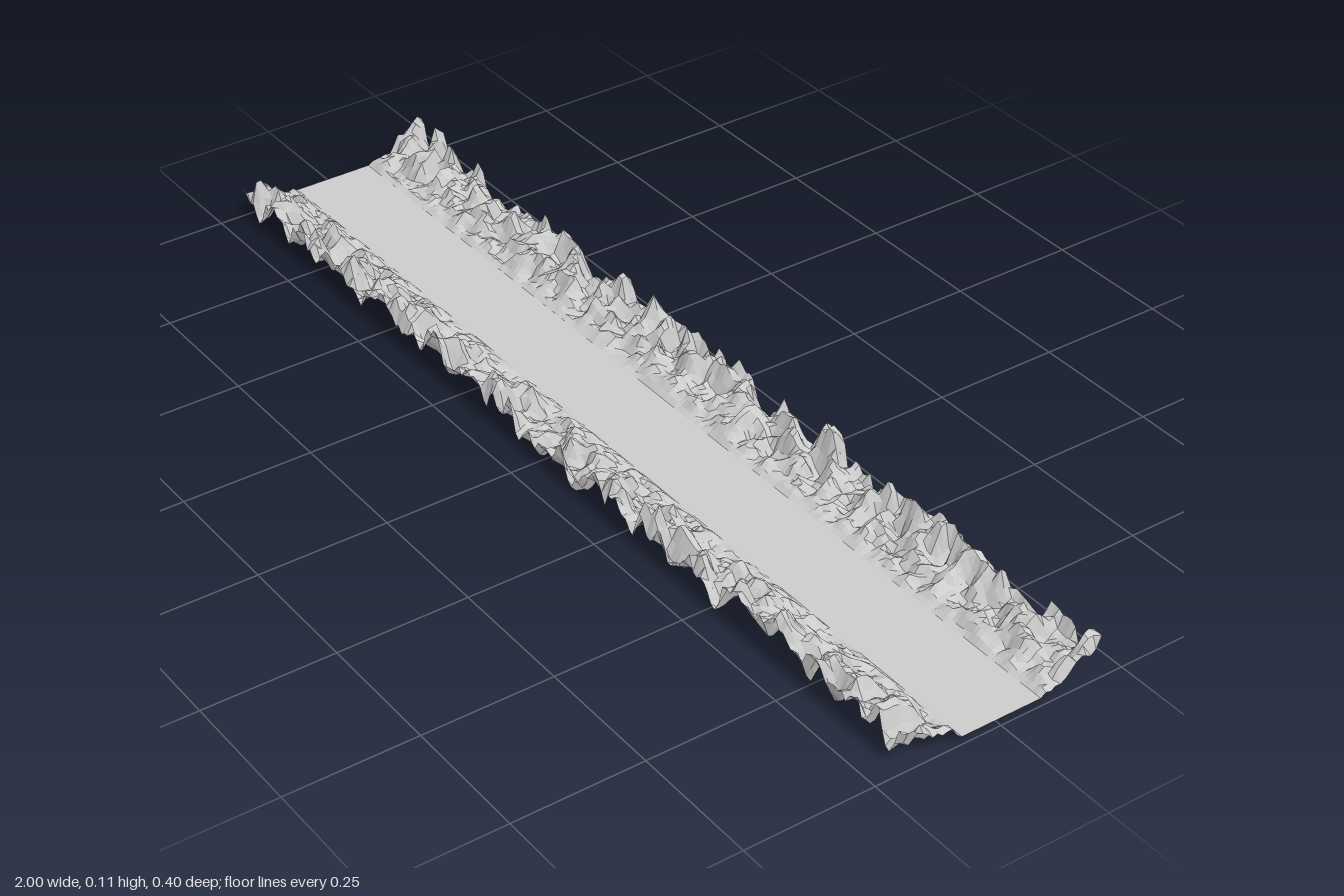
import * as THREE from 'three';

const LENGTH = 2, WIDTH = 0.4, FLOOR = 0.023, FLAT = 0.08;

// Repeatable pseudo-random value for a lattice point, 0..1
function hash(i, j) {
  let h = Math.imul(i + 512, 374761393) ^ Math.imul(j + 512, 668265263);
  h = Math.imul(h ^ (h >>> 13), 1274126177);
  return ((h ^ (h >>> 16)) >>> 0) / 4294967295;
}

// Smooth value noise
function noise(x, z) {
  const i = Math.floor(x), j = Math.floor(z);
  const u = THREE.MathUtils.smoothstep(x - i, 0, 1);
  const v = THREE.MathUtils.smoothstep(z - j, 0, 1);
  const { lerp } = THREE.MathUtils;
  return lerp(
    lerp(hash(i, j), hash(i + 1, j), u),
    lerp(hash(i, j + 1), hash(i + 1, j + 1), u), v);
}

// Level valley floor with rugged slopes that grow towards both long edges
function height(x, z) {
  const t = THREE.MathUtils.clamp((Math.abs(z) - FLAT) / 0.1, 0, 1);
  if (t === 0) return FLOOR;
  const n = 0.75 * noise(x / 0.026, z / 0.026) + 0.25 * noise(x / 0.011 + 91, z / 0.011 + 37);
  const rise = -0.018 + 0.122 * Math.pow(n, 1.1);
  return THREE.MathUtils.clamp(FLOOR + Math.pow(t, 0.8) * rise, 0, 0.127);
}

// Horizontal grid strip between two z values, raised by the height rule
function strip(name, z0, z1, nx, nz, material) {
  const geometry = new THREE.PlaneGeometry(LENGTH, z1 - z0, nx, nz);
  geometry.rotateX(-Math.PI / 2).translate(0, 0, (z0 + z1) / 2);
  const p = geometry.attributes.position;
  for (let k = 0; k < p.count; k++) p.setY(k, height(p.getX(k), p.getZ(k)));
  geometry.computeVertexNormals();
  const mesh = new THREE.Mesh(geometry, material);
  mesh.name = name;
  return mesh;
}

export function createModel() {
  const group = new THREE.Group();
  group.name = 'valleyTerrain';
  const material = new THREE.MeshStandardMaterial({
    color: 0xcccccc, flatShading: true, side: THREE.DoubleSide,
  });
  const edge = WIDTH / 2;
  group.add(
    strip('valleyFloor', -FLAT, FLAT, 1, 1, material),
    strip('frontSlope', FLAT, edge, 200, 12, material),
    strip('backSlope', -edge, -FLAT, 200, 12, material),
  );
  return group;
}
